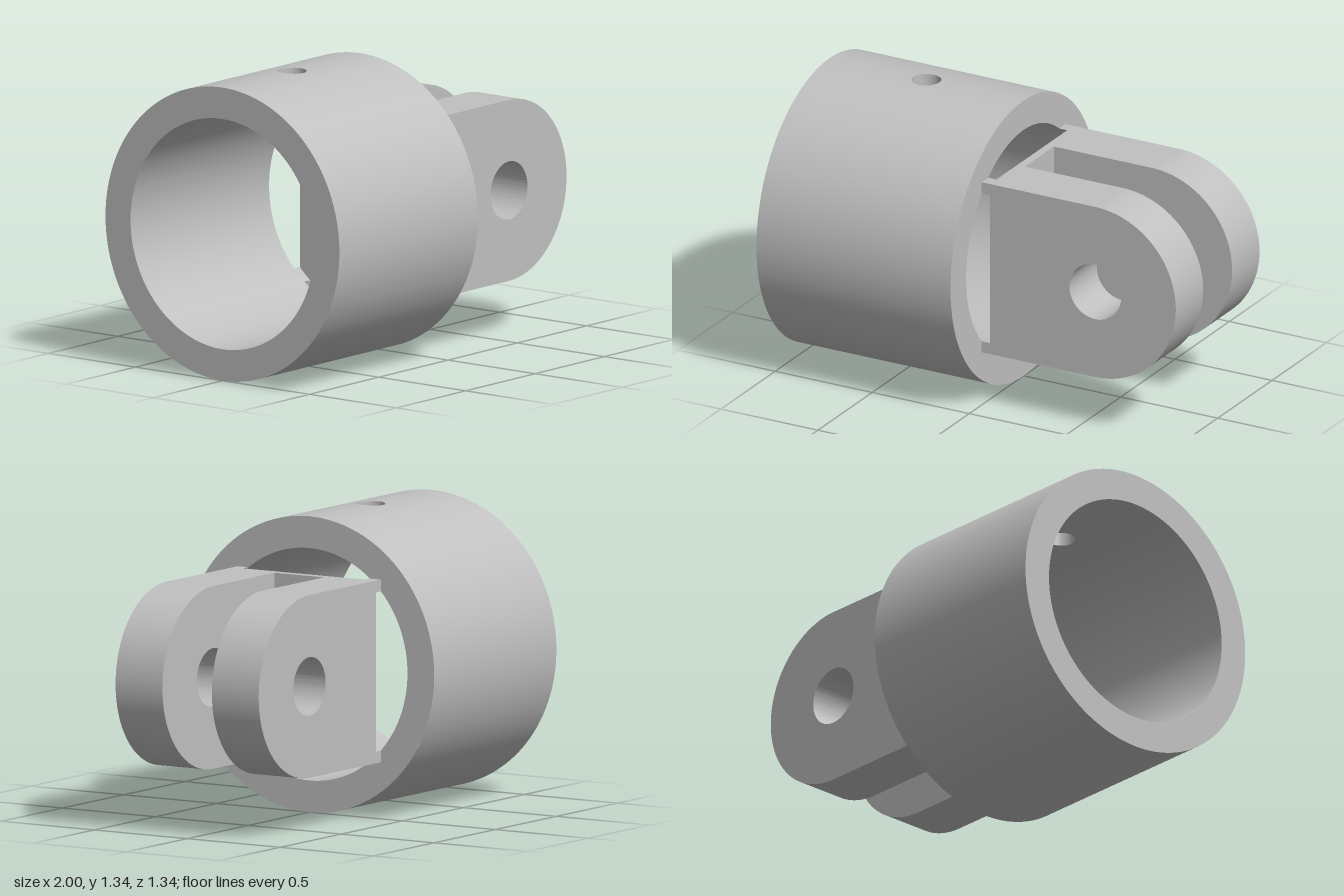
import * as THREE from 'three';
import { ParametricGeometry } from 'three/addons/geometries/ParametricGeometry.js';
import { toCreasedNormals } from 'three/addons/utils/BufferGeometryUtils.js';

const CY = 0.672;             // height of the sleeve axis
const R = 0.672, BORE = 0.528; // sleeve radii
const HALF_H = 0.415, HALF_W = 0.385, SLOT = 0.133; // fork half sizes
const PIN_X = 0.585, PIN_R = 0.133;
const SET_X = -0.5, SET_R = 0.067; // small radial hole
const PATCH = 0.25;           // half angle of the sleeve patch holding the small hole

export function createModel() {
  const model = new THREE.Group();
  const metal = new THREE.MeshStandardMaterial({ color: 0xc0c0c0 });
  metal.name = 'grey metal';

  const add = (parent, name, geometry) => {
    const mesh = new THREE.Mesh(geometry, metal);
    mesh.name = name;
    parent.add(mesh);
    return mesh;
  };

  // Point on a cylinder around the x axis, angle measured from the top
  const onSleeve = (target, r, x, a) => target.set(x, CY + r * Math.cos(a), r * Math.sin(a));

  // Sleeve: curved walls without the top patch, then the patch around the hole
  const sleeve = new THREE.Group();
  sleeve.name = 'sleeve';
  model.add(sleeve);

  const shell = (r, inward) => new ParametricGeometry((u, v, t) => {
    const a = PATCH + u * (2 * Math.PI - 2 * PATCH);
    onSleeve(t, r, inward ? -v : v - 1, a);
  }, 120, 1);

  // Rim of the small hole at radius r, as x and angle
  const rim = (r, phi) => [SET_X + SET_R * Math.cos(phi), Math.asin(SET_R * Math.sin(phi) / r)];

  const patch = (r, inward) => new ParametricGeometry((u, v, t) => {
    const phi = (inward ? 1 - u : u) * 2 * Math.PI;
    const c = Math.cos(phi), s = Math.sin(phi);
    const k = 1 / Math.max(Math.abs(c), Math.abs(s)); // circle to square
    const [x, a] = rim(r, phi);
    onSleeve(t, r, x + (SET_X + 0.5 * c * k - x) * v, a + (PATCH * s * k - a) * v);
  }, 64, 6);

  add(sleeve, 'outerWall', shell(R, false));
  add(sleeve, 'outerTop', patch(R, false));
  add(sleeve, 'boreWall', shell(BORE, true));
  add(sleeve, 'boreTop', patch(BORE, true));

  add(sleeve, 'setScrewHole', new ParametricGeometry((u, v, t) => {
    const phi = u * 2 * Math.PI;
    const r = v < 0.5 ? BORE : R;
    const [x, a] = rim(r, phi);
    const [x1, a1] = rim(BORE, phi), [x2, a2] = rim(R, phi);
    const y1 = BORE * Math.cos(a1), y2 = R * Math.cos(a2);
    t.set(x, CY + y1 + (y2 - y1) * v, r * Math.sin(a));
  }, 64, 1));

  for (const side of [-1, 1]) {
    const end = add(sleeve, side > 0 ? 'forkEndFace' : 'openEndFace',
      new THREE.RingGeometry(BORE, R, 128).rotateY(side * Math.PI / 2));
    end.position.set(side > 0 ? 0 : -1, CY, 0);
  }

  // Fork
  const fork = new THREE.Group();
  fork.name = 'fork';
  fork.position.y = CY;
  model.add(fork);

  const extrude = (shape, depth) => toCreasedNormals(
    new THREE.ExtrudeGeometry(shape, { depth, bevelEnabled: false, curveSegments: 64 }), 0.5);

  // Two rounded lugs with a pin hole
  const lug = new THREE.Shape();
  lug.moveTo(0.042, -HALF_H);
  lug.lineTo(PIN_X, -HALF_H);
  lug.absarc(PIN_X, 0, HALF_H, -Math.PI / 2, Math.PI / 2, false);
  lug.lineTo(0.042, HALF_H);
  lug.closePath();
  lug.holes.push(new THREE.Path().absarc(PIN_X, 0, PIN_R, 0, Math.PI * 2, true));
  const lugGeometry = extrude(lug, HALF_W - SLOT);
  add(fork, 'leftLug', lugGeometry).position.z = SLOT;
  add(fork, 'rightLug', lugGeometry).position.z = -HALF_W;

  // Web joining the lugs
  add(fork, 'web', new THREE.BoxGeometry(0.04, 2 * HALF_H, 2 * SLOT)).position.x = 0.062;

  // Four corner feet joining the fork to the sleeve, cut by the bore
  const a0 = Math.acos(HALF_W / BORE), a1 = Math.asin(HALF_H / BORE);
  for (const sz of [-1, 1]) for (const sy of [-1, 1]) {
    const points = [new THREE.Vector2(sz * HALF_W, sy * HALF_H)];
    for (let i = 0; i <= 8; i++) {
      const a = a1 + (a0 - a1) * i / 8;
      points.push(new THREE.Vector2(sz * BORE * Math.cos(a), sy * BORE * Math.sin(a)));
    }
    add(fork, 'cornerFoot', extrude(new THREE.Shape(points), 0.042).rotateY(Math.PI / 2));
  }

  return model;
}
